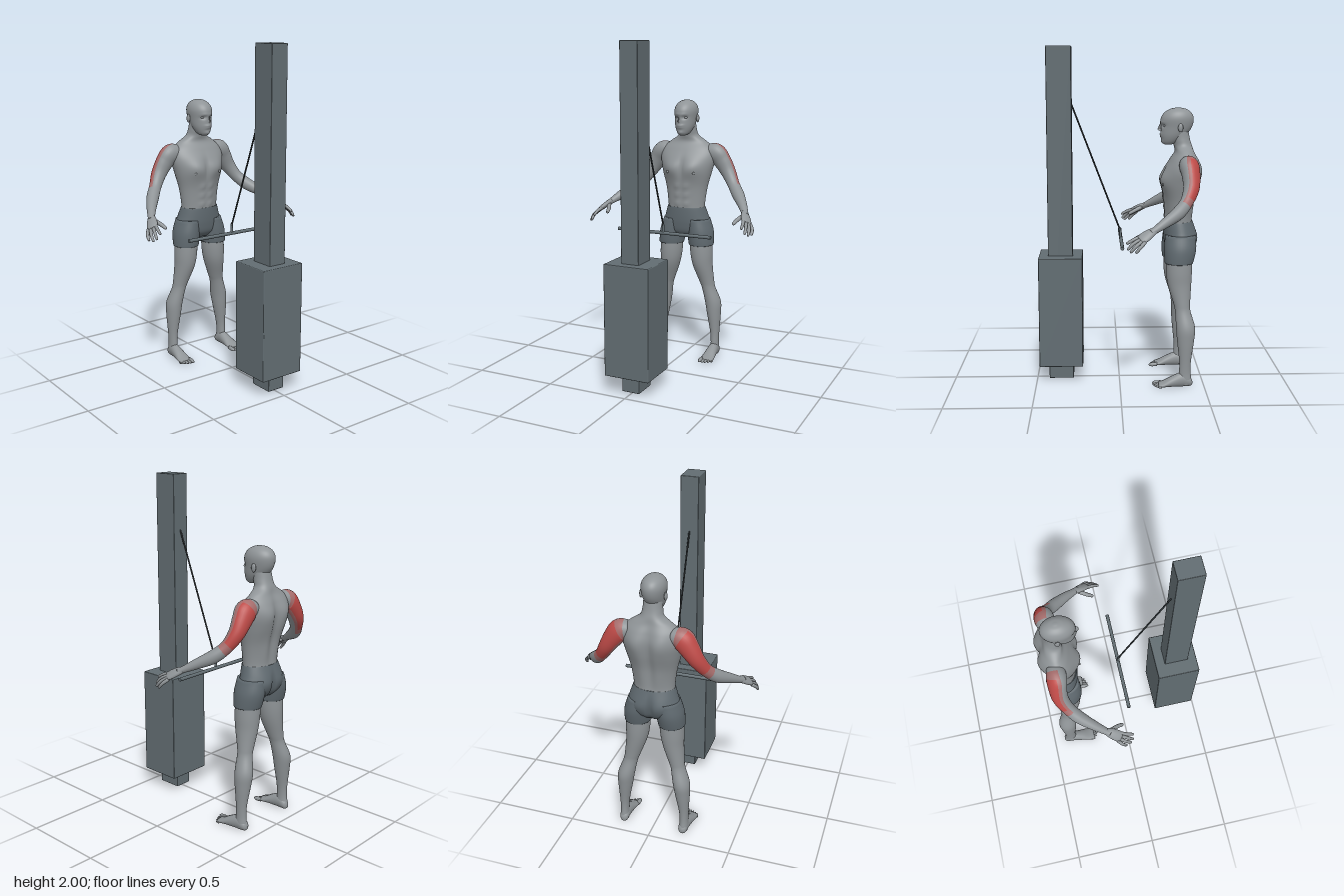
import * as THREE from 'three';
import { RoundedBoxGeometry } from 'three/addons/geometries/RoundedBoxGeometry.js';

const mat = (name, color) => Object.assign(new THREE.MeshStandardMaterial({ color }), { name });

// Loft of elliptical sections [x, y, z, radiusSide, radiusRef].
// ref: direction of the second radius; axis: fixed section normal (else the path tangent);
// bumps: [x, y, sizeX, sizeY, dz, face] soft swellings along z, mirrored in x; pick(u, a): material index
function loft(sections, { ref = [0, 0, 1], axis, n = 24, per = 5, bumps = [], pick = () => 0 } = {}) {
  const path = new THREE.CatmullRomCurve3(sections.map(s => new THREE.Vector3(s[0], s[1], s[2])), false, 'catmullrom');
  const radii = new THREE.CatmullRomCurve3(sections.map(s => new THREE.Vector3(s[3], s[4], 0)), false, 'catmullrom');
  const rows = (sections.length - 1) * per;
  const refV = new THREE.Vector3(...ref);
  const pos = [], groups = [[], [], []];
  for (let i = 0; i <= rows; i++) {
    const c = path.getPoint(i / rows), r = radii.getPoint(i / rows);
    const t = axis ? new THREE.Vector3(...axis) : path.getTangent(i / rows);
    const side = t.clone().cross(refV).normalize();
    const up = side.clone().cross(t).normalize();
    for (let j = 0; j < n; j++) {
      const a = (j / n) * Math.PI * 2;
      const p = c.clone().addScaledVector(side, r.x * Math.cos(a)).addScaledVector(up, r.y * Math.sin(a));
      let dz = 0;
      for (const [bx, by, sx, sy, d, face] of bumps) {
        const w = Math.max(0, Math.sin(a) * face);
        dz += d * w * Math.exp(-(((Math.abs(p.x) - bx) / sx) ** 2) - ((p.y - by) / sy) ** 2);
      }
      pos.push(p.x, p.y, p.z + dz);
      if (i < rows) {
        const k = (j + 1) % n, A = i * n + j, B = A + n, C = i * n + k, D = C + n;
        groups[pick((i + 0.5) / per, a + Math.PI / n)].push(A, B, C, B, D, C);
      }
    }
  }
  // End caps
  const first = pos.length / 3;
  const p0 = path.getPoint(0), p1 = path.getPoint(1);
  pos.push(p0.x, p0.y, p0.z, p1.x, p1.y, p1.z);
  for (let j = 0; j < n; j++) {
    const k = (j + 1) % n, base = rows * n;
    groups[0].push(first, j, k, first + 1, base + k, base + j);
  }
  const g = new THREE.BufferGeometry();
  g.setAttribute('position', new THREE.Float32BufferAttribute(pos, 3));
  g.setIndex(groups.flat());
  let start = 0;
  groups.forEach((list, m) => { g.addGroup(start, list.length, m); start += list.length; });
  g.computeVertexNormals();
  return g;
}

// Copy across x = 0 with the corner order kept outward
function mirrored(geo) {
  const g = geo.clone().scale(-1, 1, 1);
  const ix = g.index.array;
  for (let i = 0; i < ix.length; i += 3) [ix[i], ix[i + 1]] = [ix[i + 1], ix[i]];
  g.computeVertexNormals();
  return g;
}

export function createModel() {
  const model = new THREE.Group();
  model.name = 'cableMachineExercise';
  const skin = mat('skinGrey', 0x8f9497);
  const shorts = mat('shortsGrey', 0x5f696f);
  const metal = mat('machineGrey', 0x626d72);
  const dark = mat('cableDark', 0x2a3033);
  const red = mat('muscleRed', 0xbd4a47);
  const blush = mat('muscleEdge', 0xa66d6c);

  const add = (name, geo, m, x = 0, y = 0, z = 0) => {
    const mesh = new THREE.Mesh(geo, m);
    mesh.name = name;
    mesh.position.set(x, y, z);
    model.add(mesh);
    return mesh;
  };
  const pair = (name, geo, m) => {
    add(name + 'Left', geo, m);
    add(name + 'Right', mirrored(geo), m);
  };
  const ball = (r, x, y, z, sx = 1, sy = 1, sz = 1) =>
    new THREE.SphereGeometry(r, 16, 12).scale(sx, sy, sz).translate(x, y, z);

  // Machine
  add('column', new RoundedBoxGeometry(0.11, 1.99, 0.147, 2, 0.004), metal, 0, 1.005, 0.352);
  add('weightHousing', new RoundedBoxGeometry(0.28, 0.66, 0.26, 2, 0.005), metal, 0, 0.44, 0.35);
  const from = new THREE.Vector3(0, 1.67, 0.282), to = new THREE.Vector3(0, 0.925, -0.002);
  const cable = add('cable', new THREE.CylinderGeometry(0.005, 0.005, from.distanceTo(to), 10), dark);
  cable.position.copy(from).lerp(to, 0.5);
  cable.quaternion.setFromUnitVectors(new THREE.Vector3(0, 1, 0), from.clone().sub(to).normalize());
  add('pullBar', new THREE.CylinderGeometry(0.0105, 0.0105, 0.615, 16).rotateZ(Math.PI / 2), metal, 0, 0.865, -0.01);
  add('barClip', new THREE.CylinderGeometry(0.007, 0.008, 0.05, 12), metal, 0, 0.893, -0.007);
  add('barRing', new THREE.TorusGeometry(0.008, 0.003, 8, 16).rotateY(Math.PI / 2), metal, 0, 0.922, -0.004);

  const upright = { axis: [0, 1, 0] };

  // Torso and neck with chest, belly and spine relief
  const abs = [1.0, 1.055, 1.11].map(y => [0.03, y, 0.02, 0.02, 0.007, 1]);
  add('torso', loft([
    [0, 0.93, -0.355, 0.12, 0.082], [0, 1.0, -0.352, 0.122, 0.08], [0, 1.1, -0.355, 0.136, 0.09],
    [0, 1.2, -0.36, 0.162, 0.112], [0, 1.28, -0.372, 0.18, 0.106], [0, 1.34, -0.381, 0.168, 0.082],
    [0, 1.385, -0.385, 0.12, 0.058], [0, 1.42, -0.378, 0.068, 0.055], [0, 1.46, -0.365, 0.056, 0.054],
    [0, 1.52, -0.352, 0.053, 0.054],
  ], { ...upright, n: 64, per: 7, bumps: [
    ...abs, [0.075, 1.23, 0.055, 0.05, 0.018, 1], [0, 1.22, 0.018, 0.07, -0.012, 1],
    [0, 1.2, 0.03, 0.17, 0.02, -1], [0.08, 1.28, 0.05, 0.08, -0.016, -1], [0.05, 1.05, 0.03, 0.1, -0.006, -1],
  ] }), skin);
  pair('nipple', ball(0.008, 0.088, 1.2, -0.252, 1, 1, 0.7), skin);

  // Head
  add('head', loft([
    [0, 1.428, -0.288, 0.016, 0.018], [0, 1.442, -0.3, 0.037, 0.045], [0, 1.48, -0.318, 0.055, 0.073],
    [0, 1.53, -0.336, 0.064, 0.091], [0, 1.58, -0.341, 0.069, 0.097], [0, 1.615, -0.344, 0.058, 0.08],
    [0, 1.637, -0.346, 0.034, 0.046], [0, 1.645, -0.346, 0.006, 0.008],
  ], { ...upright, n: 48, per: 8, bumps: [
    [0.027, 1.54, 0.015, 0.01, -0.012, 1], [0.02, 1.558, 0.025, 0.008, 0.004, 1],
    [0, 1.49, 0.02, 0.006, 0.008, 1], [0, 1.477, 0.018, 0.005, 0.006, 1], [0, 1.445, 0.02, 0.012, 0.008, 1],
  ] }), skin);
  add('nose', loft([
    [0, 1.555, -0.248, 0.006, 0.006], [0, 1.53, -0.242, 0.009, 0.012], [0, 1.517, -0.241, 0.014, 0.015],
    [0, 1.508, -0.244, 0.008, 0.006],
  ], upright), skin);
  pair('eye', ball(0.011, 0.027, 1.54, -0.267, 1.1, 0.7, 0.8), skin);
  pair('ear', ball(0.022, 0.07, 1.53, -0.355, 0.4, 1.15, 0.7).rotateY(0), skin);

  // Shorts
  add('shortsSeat', loft([
    [0, 0.785, -0.36, 0.1, 0.055], [0, 0.82, -0.362, 0.155, 0.085], [0, 0.87, -0.364, 0.158, 0.097],
    [0, 0.92, -0.36, 0.142, 0.096], [0, 0.972, -0.352, 0.125, 0.087], [0, 0.975, -0.352, 0.122, 0.084],
  ], { ...upright, n: 48, per: 6, bumps: [
    [0, 0.86, 0.014, 0.07, 0.02, -1], [0.07, 0.875, 0.05, 0.05, -0.01, -1],
  ] }), shorts);
  pair('shortsLeg', loft([
    [0.102, 0.738, -0.351, 0.074, 0.078], [0.102, 0.742, -0.351, 0.079, 0.085], [0.095, 0.82, -0.358, 0.081, 0.095],
    [0.08, 0.9, -0.36, 0.07, 0.09],
  ], { ...upright, n: 32 }), shorts);

  // Legs and feet
  pair('leg', loft([
    [0.19, 0.012, -0.387, 0.022, 0.034], [0.19, 0.04, -0.387, 0.027, 0.038], [0.19, 0.09, -0.385, 0.025, 0.034],
    [0.188, 0.16, -0.386, 0.029, 0.035], [0.18, 0.28, -0.388, 0.044, 0.05], [0.172, 0.36, -0.388, 0.05, 0.056],
    [0.148, 0.45, -0.373, 0.043, 0.046], [0.135, 0.5, -0.367, 0.048, 0.05], [0.113, 0.6, -0.355, 0.062, 0.069],
    [0.105, 0.68, -0.352, 0.07, 0.076], [0.1, 0.78, -0.352, 0.07, 0.075],
  ], { ...upright, n: 32 }), skin);
  pair('foot', loft([
    [0.188, 0.026, -0.43, 0.01, 0.012], [0.188, 0.033, -0.415, 0.025, 0.029], [0.19, 0.045, -0.37, 0.03, 0.043],
    [0.192, 0.034, -0.31, 0.036, 0.032], [0.193, 0.02, -0.26, 0.042, 0.018], [0.193, 0.014, -0.228, 0.04, 0.011],
  ], { ref: [0, 1, 0], axis: [0, 0, 1] }), skin);
  for (let i = 0; i < 5; i++) {
    const x = 0.16 + i * 0.017, r = i ? 0.0085 : 0.012, tip = -0.192 - 0.004 * i * i / 2;
    pair('toe' + (i + 1), loft([
      [x, r + 0.004, -0.245, r, r], [x, r + 0.002, tip - 0.016, r, r], [x, r, tip, r * 0.35, r * 0.35],
    ], { ref: [0, 1, 0], n: 12 }), skin);
  }

  // Arms, with the highlighted muscle on the back of the upper arm
  const pick = (u, a) => {
    const s = Math.sin(a), mid = 1 - Math.abs(u - 2.4) / 1.9;
    if (mid <= 0 || s < 0) return 0;
    return s > 0.35 && mid > 0.22 ? 1 : 2;
  };
  pair('arm', loft([
    [0.12, 1.325, -0.392, 0.045, 0.05], [0.178, 1.313, -0.397, 0.064, 0.057], [0.218, 1.268, -0.403, 0.058, 0.052],
    [0.262, 1.2, -0.4, 0.046, 0.046], [0.308, 1.13, -0.37, 0.037, 0.037], [0.358, 1.077, -0.32, 0.038, 0.037],
    [0.41, 1.035, -0.25, 0.029, 0.029], [0.452, 0.998, -0.185, 0.019, 0.021], [0.466, 0.985, -0.16, 0.018, 0.02],
  ], { ref: [0.35, 0.15, -1], n: 32, per: 6, pick }), [skin, red, blush]);

  // Hands
  const back = [0.625, 0.792, 0.133];
  pair('palm', loft([
    [0.452, 0.998, -0.185, 0.02, 0.016], [0.47, 0.98, -0.15, 0.031, 0.017],
    [0.488, 0.96, -0.117, 0.034, 0.014], [0.496, 0.951, -0.1, 0.027, 0.009],
  ], { ref: back }), skin);
  const fingers = {
    indexFinger: [[0.473, 0.968, -0.108], [0.485, 0.952, -0.065], [0.49, 0.93, -0.025]],
    middleFinger: [[0.487, 0.957, -0.108], [0.504, 0.935, -0.065], [0.51, 0.9, -0.03]],
    ringFinger: [[0.5, 0.948, -0.114], [0.52, 0.923, -0.078], [0.525, 0.888, -0.045]],
    littleFinger: [[0.51, 0.942, -0.126], [0.531, 0.917, -0.1], [0.536, 0.888, -0.075]],
    thumb: [[0.452, 0.982, -0.155], [0.432, 0.963, -0.112], [0.42, 0.943, -0.072]],
  };
  for (const [name, [a, b, c]] of Object.entries(fingers)) {
    const tip = c.map((v, i) => v + (b[i] - v) * 0.15);
    const r = name === 'thumb' ? 0.012 : 0.0095;
    pair(name, loft([[...a, r * 1.1, r * 1.1], [...b, r, r], [...tip, r * 0.8, r * 0.8], [...c, 0.002, 0.002]],
      { ref: back, n: 12, per: 4 }), skin);
  }
  return model;
}
